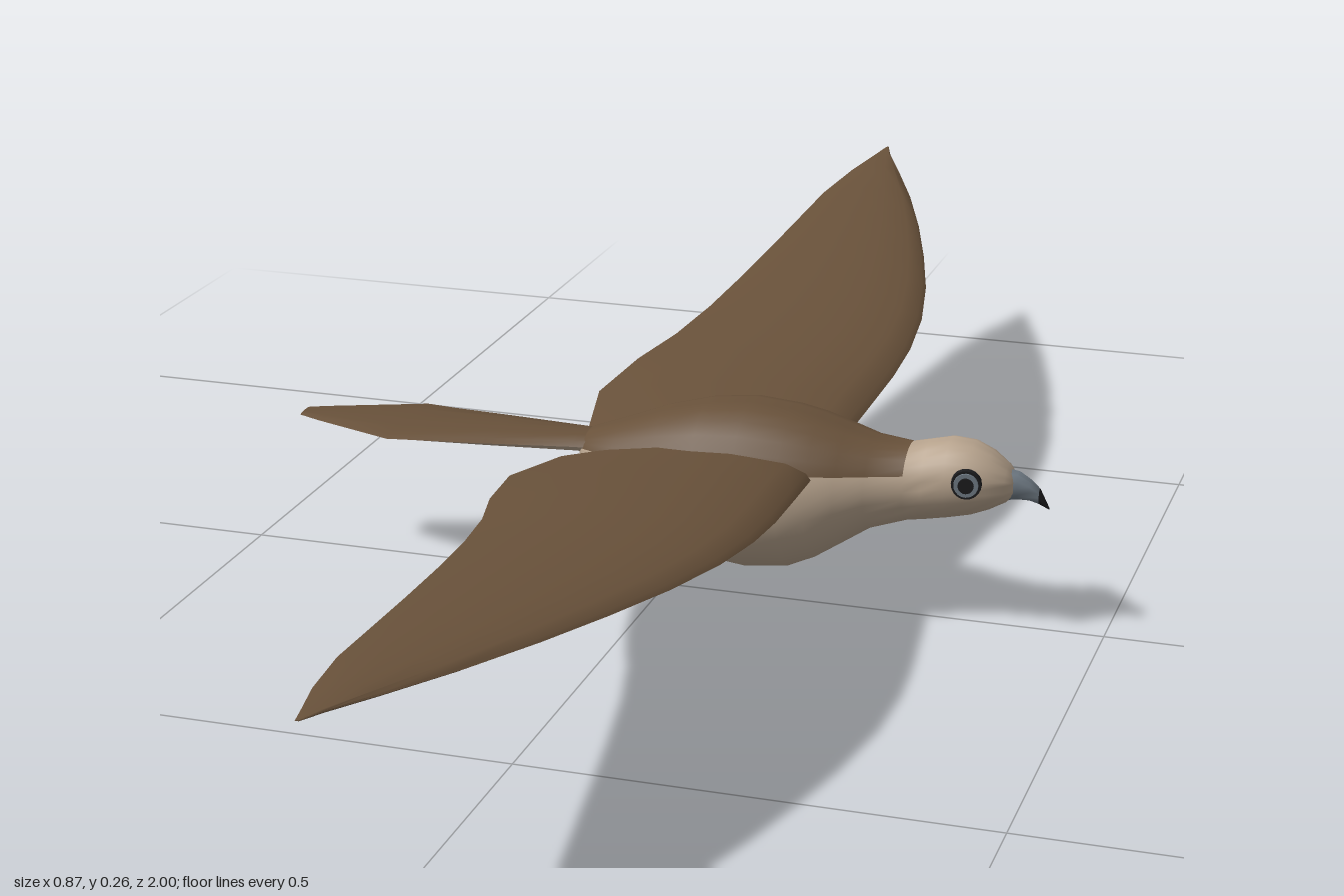
import * as THREE from 'three';
import { toCreasedNormals } from 'three/addons/utils/BufferGeometryUtils.js';

const mat = (name, color, side = THREE.FrontSide) => {
  const m = new THREE.MeshStandardMaterial({ color, side });
  m.name = name;
  return m;
};

// Skin closed rings into a capped tube; pick(i, j) chooses the material index of each quad
function loft(rings, pick = () => 0, crease = 0.8) {
  const mid = (r) => {
    const c = r.reduce((a, p) => a.add(p), new THREE.Vector3()).divideScalar(r.length);
    return r.map(() => c);
  };
  const all = [mid(rings[0]), ...rings, mid(rings[rings.length - 1])];
  const n = rings[0].length;
  const buckets = [[], []];
  for (let i = 0; i < all.length - 1; i++) {
    for (let j = 0; j < n; j++) {
      const a = i * n + j, b = i * n + ((j + 1) % n), c = a + n, d = b + n;
      const out = buckets[pick(i - 1, j)];
      if (i > 0) out.push(a, d, b);
      if (i < all.length - 2) out.push(a, c, d);
    }
  }
  const geo = new THREE.BufferGeometry().setFromPoints(all.flat());
  geo.setIndex([...buckets[0], ...buckets[1]]);
  geo.addGroup(0, buckets[0].length, 0);
  geo.addGroup(buckets[0].length, buckets[1].length, 1);
  return toCreasedNormals(geo, crease);
}

// Elliptical ring across the x axis
const ellipse = ([x, y, ry, rz], n) => Array.from({ length: n }, (_, j) => {
  const a = (j / n) * Math.PI * 2;
  return new THREE.Vector3(x, y + Math.sin(a) * ry, Math.cos(a) * rz);
});

export function createModel() {
  const brown = mat('brown feathers', 0x68513a);
  const cream = mat('cream feathers', 0xb8a48e);
  const grey = mat('grey skin', 0x717c86);
  const black = mat('black claw', 0x1c1c1e);
  const bird = new THREE.Group();
  bird.name = 'bird';

  const add = (parent, name, geo, material, pos) => {
    const m = new THREE.Mesh(geo, material);
    m.name = name;
    if (pos) m.position.set(...pos);
    parent.add(m);
    return m;
  };
  // Tapered round limb between two points
  const limb = (parent, name, a, b, ra, rb, material, sides = 10) => {
    const p = new THREE.Vector3(...a), q = new THREE.Vector3(...b);
    const d = q.clone().sub(p);
    const m = add(parent, name, new THREE.CylinderGeometry(rb, ra, d.length(), sides), material);
    m.position.copy(p).addScaledVector(d, 0.5);
    m.quaternion.setFromUnitVectors(new THREE.Vector3(0, 1, 0), d.normalize());
  };

  // Body and head: x, bottom, top, half width
  const body = [
    [-0.094, 0.145, 0.172, 0.024], [-0.088, 0.128, 0.178, 0.034], [-0.05, 0.098, 0.192, 0.055],
    [0, 0.063, 0.212, 0.074], [0.05, 0.046, 0.226, 0.084], [0.1, 0.04, 0.232, 0.088],
    [0.15, 0.046, 0.228, 0.085], [0.18, 0.06, 0.222, 0.08], [0.21, 0.08, 0.213, 0.07],
    [0.24, 0.1, 0.204, 0.056], [0.28, 0.113, 0.2, 0.043], [0.3, 0.116, 0.205, 0.041],
    [0.325, 0.121, 0.211, 0.042], [0.35, 0.127, 0.209, 0.041], [0.37, 0.135, 0.2, 0.035],
    [0.388, 0.145, 0.186, 0.025], [0.396, 0.153, 0.176, 0.014],
  ].map(([x, lo, hi, w]) => ellipse([x, (lo + hi) / 2, (hi - lo) / 2, w], 30));
  add(bird, 'body', loft(body, (i, j) => (i < 10 && j >= 2 && j < 13 ? 0 : 1), 1.2), [brown, cream]);

  // Tail: brown above, cream below
  const tail = [
    [-0.437, 0.161, 0.002, 0.014], [-0.41, 0.161, 0.003, 0.026], [-0.31, 0.162, 0.005, 0.064],
    [-0.2, 0.163, 0.008, 0.048], [-0.1, 0.164, 0.011, 0.031], [-0.04, 0.165, 0.012, 0.028],
  ].map((s) => ellipse(s, 12));
  add(bird, 'tail', loft(tail, (i, j) => (j < 6 ? 0 : 1)), [brown, cream]);

  // Hooked beak with a dark tip
  const beak = [
    [0.382, 0.164, 0.019, 0.017], [0.4, 0.164, 0.016, 0.012], [0.413, 0.16, 0.012, 0.009],
    [0.423, 0.154, 0.009, 0.006], [0.434, 0.141, 0.001, 0.001],
  ].map((s) => ellipse(s, 12));
  add(bird, 'beak', loft(beak, (i) => (i < 3 ? 0 : 1), 1.2), [grey, black]);

  // Wing stations: span, leading x, trailing x
  const stations = [
    [0.045, 0.185, -0.108], [0.15, 0.192, -0.13], [0.25, 0.198, -0.115], [0.33, 0.198, -0.093],
    [0.42, 0.19, -0.078], [0.52, 0.171, -0.067], [0.62, 0.144, -0.058], [0.72, 0.113, -0.05],
    [0.82, 0.077, -0.042], [0.91, 0.039, -0.026], [0.97, 0.012, -0.01], [1, 0.002, -0.002],
  ];
  // Wing section from trailing edge over the top to the leading edge and back underneath
  const foil = [[0, -0.45], [0.15, -0.1], [0.4, 0.38], [0.7, 0.55], [0.9, 0.4], [0.98, 0.12],
    [1, -0.1], [0.95, -0.38], [0.75, -0.25], [0.45, -0.1], [0.12, -0.42]];

  for (const s of [1, -1]) {
    const side = s > 0 ? 'left' : 'right';
    const wing = stations.map(([z, lead, trail]) => {
      const y = 0.172 + 0.1 * (z - 0.05) - 0.003 * z;
      const t = 0.032 * (1 - z) ** 0.7 + 0.001;
      const ring = foil.map(([u, v]) =>
        new THREE.Vector3(trail + (lead - trail) * u, y + v * t, z * s));
      return s > 0 ? ring : ring.reverse();
    });
    const under = (i, j) => ((s > 0 ? j : 9 - j + (j === 10 ? 11 : 0)) >= 9 ? 1 : 0);
    add(bird, side + 'Wing', loft(wing, under, 0.7), [brown, cream]);

    // Eye: dark rim, grey iris, dark pupil
    const eye = new THREE.Group();
    eye.name = side + 'Eye';
    eye.position.set(0.35, 0.173, s * 0.037);
    eye.rotation.y = s > 0 ? 0.12 : Math.PI - 0.12;
    bird.add(eye);
    [['rim', 0.017, black, 0.002], ['iris', 0.014, grey, 0.004], ['pupil', 0.009, black, 0.006]]
      .forEach(([name, r, m, z]) => {
        add(eye, name, new THREE.CylinderGeometry(r * 0.95, r, 0.006, 20), m, [0, 0, z])
          .rotation.x = Math.PI / 2;
      });

    // Leg trailing behind the belly
    const leg = new THREE.Group();
    leg.name = side + 'Leg';
    bird.add(leg);
    const z = s * 0.032;
    limb(leg, 'thigh', [0.053, 0.058, z], [-0.06, 0.087, z], 0.019, 0.012, cream, 14);
    limb(leg, 'shank', [-0.05, 0.087, z], [-0.115, 0.089, z], 0.01, 0.009, grey);
    add(leg, 'ankle', new THREE.SphereGeometry(0.0105, 10, 8), grey, [-0.115, 0.089, z]);
    limb(leg, 'foot', [-0.115, 0.089, z], [-0.1, 0.062, z], 0.007, 0.007, grey);
    add(leg, 'footPad', new THREE.SphereGeometry(0.009, 10, 8), grey, [-0.1, 0.062, z]);
    // Three front toes and one hind toe, each with a claw
    for (const k of [-1, 0, 1]) {
      const reach = k === 0 ? 0.006 : 0;
      const knuckle = [-0.122, 0.05, z + k * 0.01];
      const end = [-0.141 - reach, 0.031 - reach * 0.5, z + k * 0.018];
      limb(leg, 'toe', [-0.1, 0.062, z], knuckle, 0.006, 0.0055, grey, 8);
      limb(leg, 'toe', knuckle, end, 0.006, 0.005, grey, 8);
      limb(leg, 'claw', end, [-0.155 - reach, 0.006 - reach, z + k * 0.02], 0.0045, 0.0005, black, 8);
    }
    limb(leg, 'hindToe', [-0.1, 0.062, z], [-0.087, 0.056, z], 0.006, 0.005, grey, 8);
    limb(leg, 'hindClaw', [-0.089, 0.058, z], [-0.075, 0.03, z], 0.005, 0.0005, black, 8);
  }
  return bird;
}
